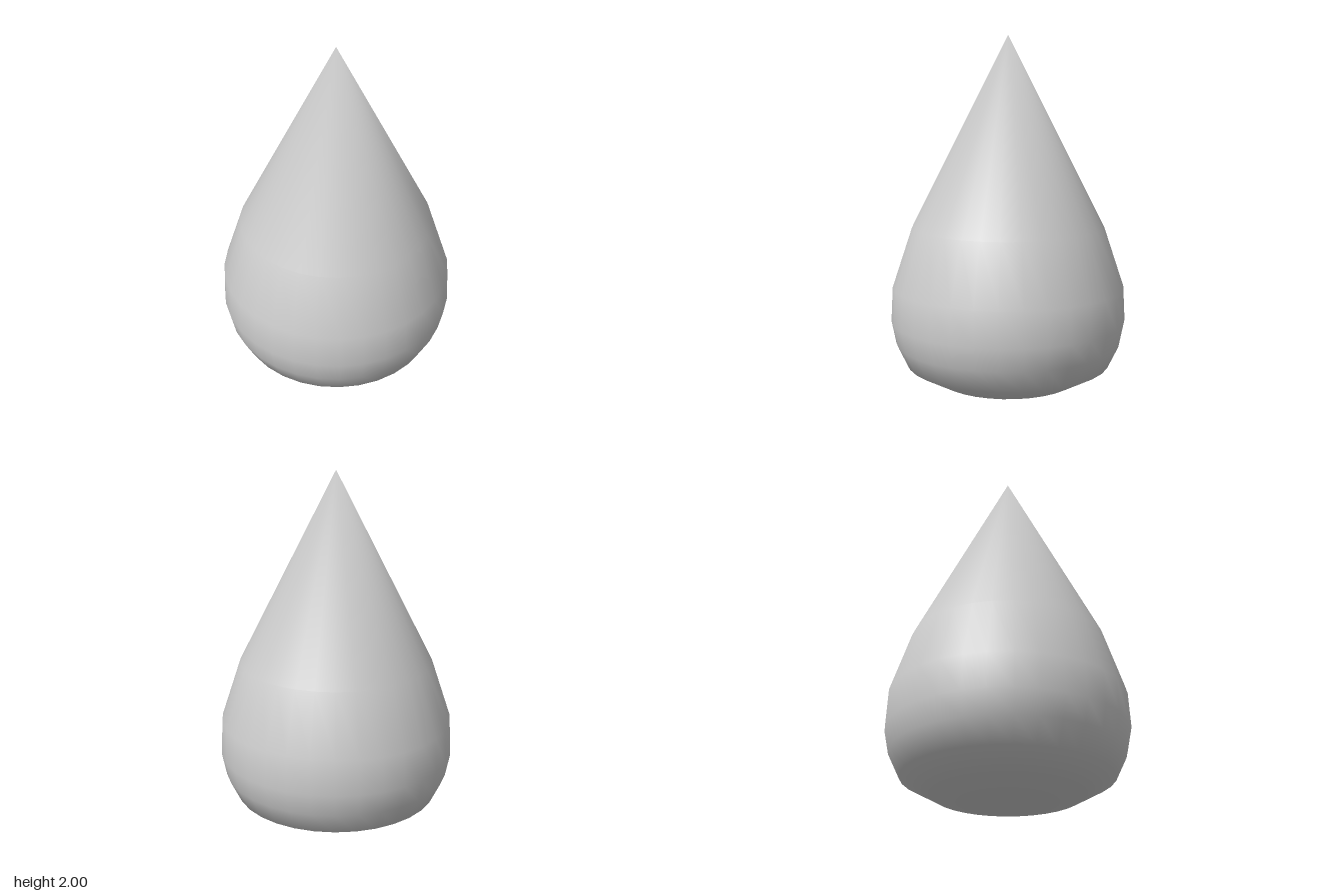
import * as THREE from 'three';
import { mergeVertices } from 'three/addons/utils/BufferGeometryUtils.js';

export function createModel() {
  const group = new THREE.Group();

  // Teardrop profile (radius, height), from the bottom point to the tip
  const profile = [
    [0, 0], [0.39, 0.095], [0.565, 0.19], [0.625, 0.315],
    [0.65, 0.44], [0.64, 0.63], [0.53, 0.96], [0, 2],
  ].map(([r, y]) => new THREE.Vector2(r, y));

  // Weld the seam and poles so shading is smooth across both points
  let geometry = new THREE.LatheGeometry(profile, 32);
  geometry.deleteAttribute('uv');
  geometry.deleteAttribute('normal');
  geometry = mergeVertices(geometry);
  geometry.computeVertexNormals();

  const drop = new THREE.Mesh(geometry, new THREE.MeshStandardMaterial({ color: 0xcccccc }));
  drop.name = 'teardropBody';
  group.add(drop);
  return group;
}
